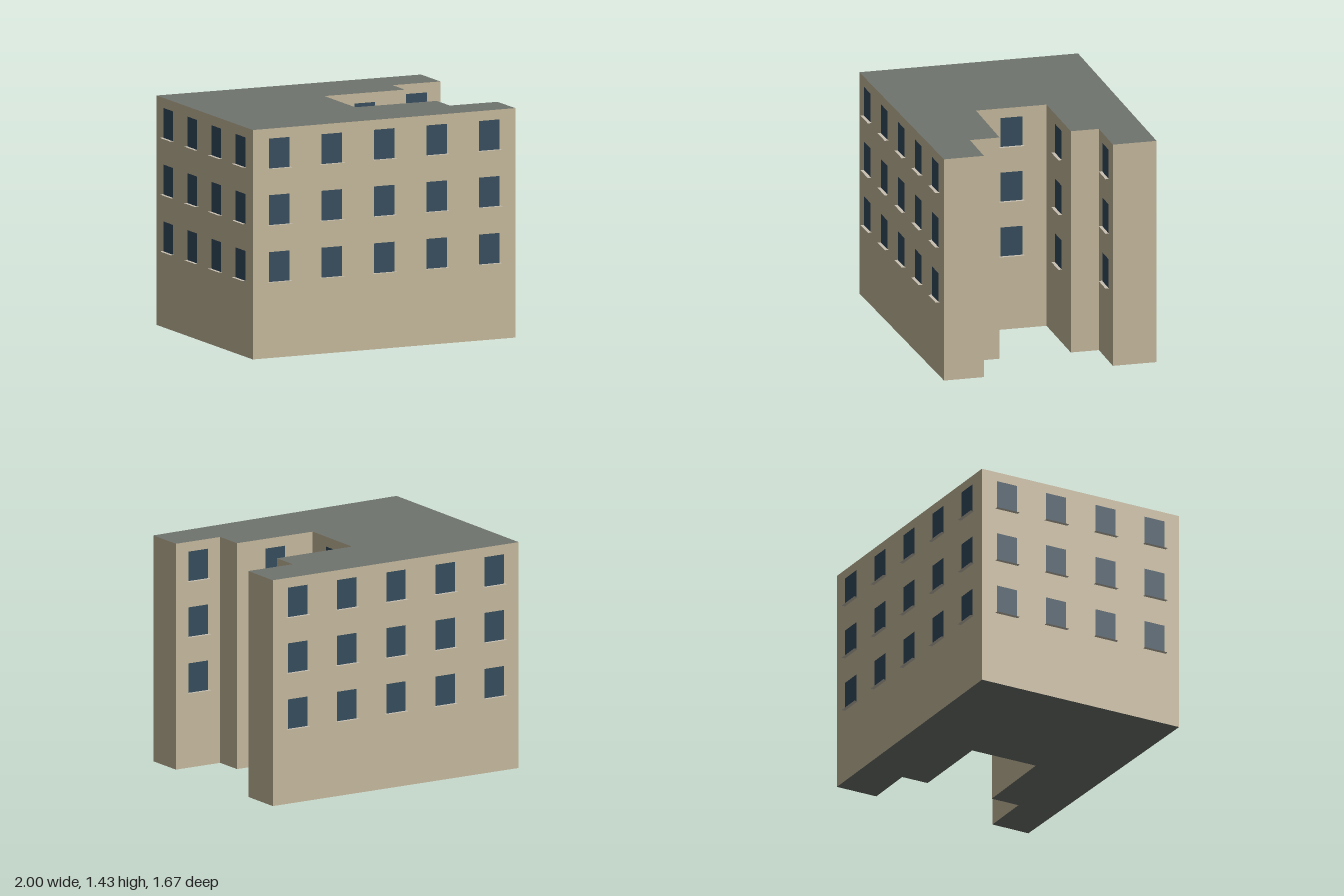
import * as THREE from 'three';

const HEIGHT = 1.435;
const FLOORS = [0.57, 0.926, 1.28]; // window centre heights
const WIN_W = 0.142, WIN_H = 0.187, SILL_W = 0.16, SILL_D = 0.024;

// Footprint corners [x, z, windows on the wall to the next corner]
const CORNERS = [
  [-0.78, 0.825, 5], [1.0, 0.515, 0], [0.96, 0.263, 1], [0.64, 0.31, 0],
  [0.61, 0.123, 1], [0.063, 0.203, 1], [-0.003, -0.243, 1], [0.54, -0.328, 0],
  [0.514, -0.506, 1], [0.835, -0.553, 0], [0.793, -0.83, 5], [-0.988, -0.558, 4],
];

export function createModel() {
  const model = new THREE.Group();
  model.name = 'building';

  const material = (color, side = THREE.FrontSide) => new THREE.MeshStandardMaterial({ color, side });
  const wallMat = material(0xc4b79b);
  const roofMat = material(0x70746e);
  const glassMat = material(0x344b5c);
  const sillMat = material(0xc8c0b2, THREE.DoubleSide);

  // Solid block: caps are roof and floor, sides are the walls
  const outline = new THREE.Shape(CORNERS.map(([x, z]) => new THREE.Vector2(x, -z)));
  const blockGeo = new THREE.ExtrudeGeometry(outline, { depth: HEIGHT, bevelEnabled: false });
  blockGeo.rotateX(-Math.PI / 2);
  const block = new THREE.Mesh(blockGeo, [roofMat, wallMat]);
  block.name = 'wallsAndRoof';
  model.add(block);

  // Window pane with a thin ledge at its foot
  const paneGeo = new THREE.PlaneGeometry(WIN_W, WIN_H).translate(0, 0, 0.003);
  const sillGeo = new THREE.PlaneGeometry(SILL_W, SILL_D).rotateX(-Math.PI / 2)
    .translate(0, -WIN_H / 2, SILL_D / 2);

  function makeWindow() {
    const group = new THREE.Group();
    group.name = 'window';
    const pane = new THREE.Mesh(paneGeo, glassMat);
    pane.name = 'windowPane';
    const sill = new THREE.Mesh(sillGeo, sillMat);
    sill.name = 'windowSill';
    group.add(pane, sill);
    return group;
  }

  // Spread the windows evenly along each wall, on every floor
  CORNERS.forEach(([x, z, count], i) => {
    const [x2, z2] = CORNERS[(i + 1) % CORNERS.length];
    const dx = x2 - x, dz = z2 - z;
    for (let k = 0; k < count; k++) {
      const t = (k + 0.5) / count;
      for (const y of FLOORS) {
        const win = makeWindow();
        win.position.set(x + dx * t, y, z + dz * t);
        win.rotation.y = Math.atan2(-dz, dx);
        model.add(win);
      }
    }
  });

  return model;
}
